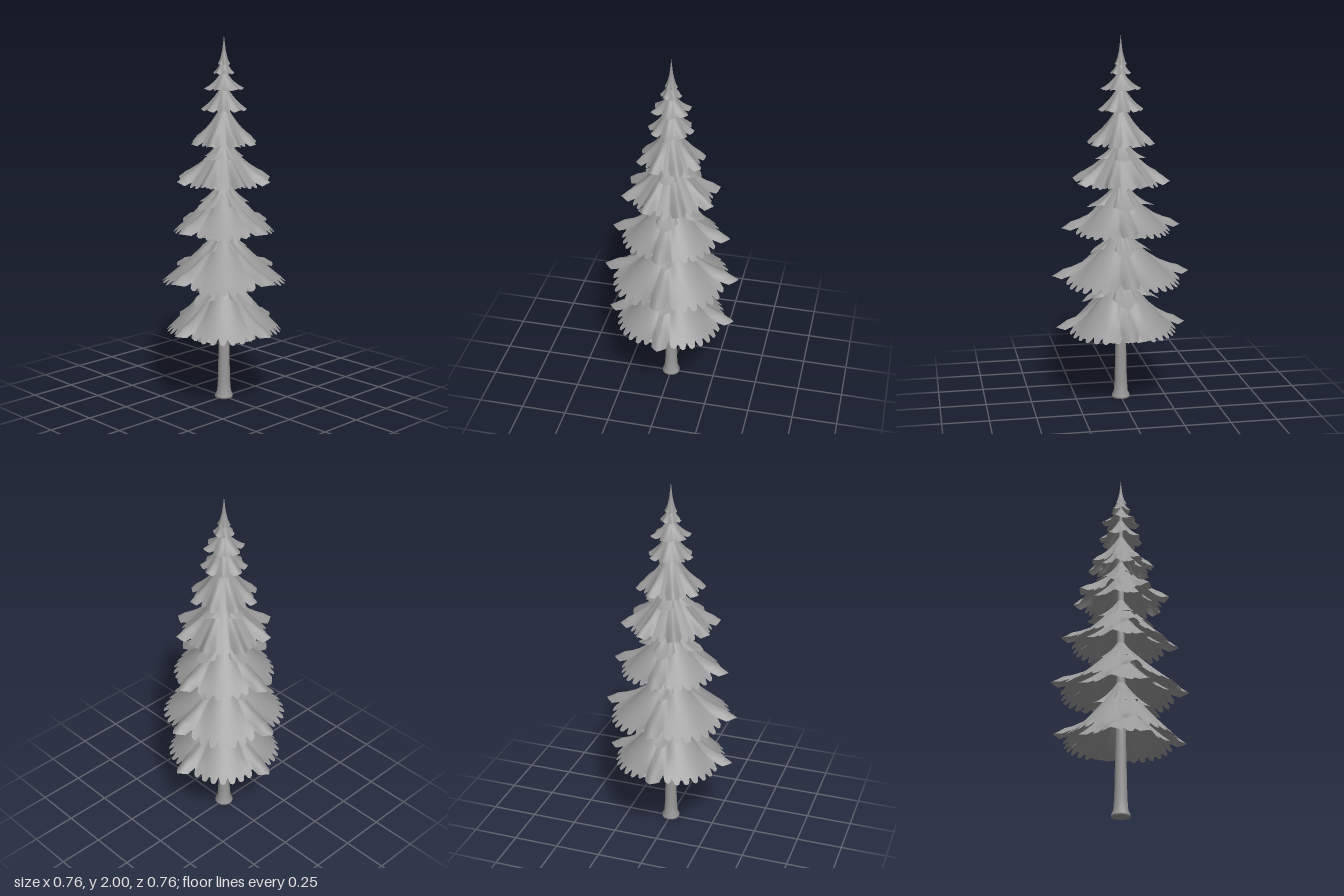
import * as THREE from 'three';

// Drooping skirt of needles: a concave cone whose hem has long curled tips and rounded teeth.
function skirtGeometry({ apex, low, tipY, tipR, hemR, tips, teeth, turn = 0, bulge = 0, narrow = 0.1, curl = 0.8, roll = 0 }) {
  const perTooth = 4, cols = teeth * perTooth;
  const rows = [0, 0.2, 0.4, 0.58, 0.74, 0.85, 0.93, 1];
  const toothShape = [0.1, 0.015, 0, 0.015];
  const step = (Math.PI * 2) / tips;
  const pos = [], idx = [];
  for (const s of rows) {
    for (let i = 0; i < cols; i++) {
      const a = (i / cols) * Math.PI * 2;
      const off = Math.abs(a - Math.round(a / step) * step);
      const w = Math.max(0, 1 - off / (step * narrow));
      const wave = 0.5 + 0.5 * Math.cos(a * tips);
      const lift = wave ** 3.5;
      // no notches inside a tip
      const t = s * (w > 0 ? 1 : 1 - toothShape[i % perTooth]);
      const hem = hemR + bulge * (1 - wave);
      const r = 0.012 + (hem - 0.012) * t + (tipR - hem) * w ** 0.7 * t * t;
      const drop = apex - (low + (tipY - low) * lift);
      const bend = 0.15 + curl * lift;
      const y = apex - drop * ((1 - bend) * t + bend * (1 - (1 - t) ** 2))
        - roll * lift * Math.max(0, t - 0.85);
      pos.push(Math.sin(a + turn) * r, y, Math.cos(a + turn) * r);
    }
  }
  for (let j = 0; j < rows.length - 1; j++) {
    for (let i = 0; i < cols; i++) {
      const n = (i + 1) % cols;
      const a = j * cols + i, b = j * cols + n, c = a + cols, d = b + cols;
      idx.push(a, c, d, a, d, b);
    }
  }
  const g = new THREE.BufferGeometry();
  g.setAttribute('position', new THREE.Float32BufferAttribute(pos, 3));
  g.setIndex(idx);
  g.computeVertexNormals();
  return g;
}

export function createModel() {
  const tree = new THREE.Group();
  tree.name = 'firTree';
  const grey = new THREE.MeshStandardMaterial({ color: 0x999999, side: THREE.DoubleSide });
  grey.name = 'plainGrey';
  const add = (name, geometry) => {
    const m = new THREE.Mesh(geometry, grey);
    m.name = name;
    tree.add(m);
  };

  // Trunk with a flared foot, tapering up inside the branches
  const trunk = [[0, 0], [0.05, 0], [0.051, 0.012], [0.04, 0.035], [0.035, 0.1],
    [0.029, 0.38], [0.023, 0.9], [0.014, 1.5], [0.006, 1.88]];
  add('trunk', new THREE.LatheGeometry(trunk.map(p => new THREE.Vector2(...p)), 12));

  // Main tiers, bottom to top
  const eighth = Math.PI / 8;
  const tiers = [
    { apex: 0.74, low: 0.39, tipY: 0.45, tipR: 0.36, hemR: 0.3, bulge: 0.015, tips: 4, teeth: 36, roll: 0.2 },
    { apex: 0.97, low: 0.665, tipY: 0.74, tipR: 0.38, hemR: 0.318, bulge: 0.02, tips: 4, teeth: 36, roll: 0.2 },
    { apex: 1.22, low: 0.945, tipY: 1.003, tipR: 0.327, hemR: 0.265, bulge: 0.01, tips: 4, teeth: 32, narrow: 0.12, roll: 0.2 },
    { apex: 1.45, low: 1.205, tipY: 1.245, tipR: 0.27, hemR: 0.225, tips: 8, teeth: 32, turn: eighth, narrow: 0.24, curl: 0.35, roll: 0.1 },
    { apex: 1.63, low: 1.42, tipY: 1.443, tipR: 0.187, hemR: 0.155, tips: 8, teeth: 24, turn: eighth, narrow: 0.33, curl: 0.25, roll: 0.1 },
    { apex: 1.735, low: 1.6, tipY: 1.61, tipR: 0.123, hemR: 0.1, tips: 8, teeth: 16, narrow: 0.45, curl: 0.15 },
    { apex: 1.81, low: 1.712, tipY: 1.72, tipR: 0.11, hemR: 0.078, tips: 6, teeth: 12, turn: Math.PI / 6, narrow: 0.45, curl: 0.2 },
    { apex: 1.87, low: 1.795, tipY: 1.803, tipR: 0.057, hemR: 0.046, tips: 6, teeth: 12, narrow: 0.45, curl: 0.2 },
    { apex: 1.91, low: 1.843, tipY: 1.85, tipR: 0.034, hemR: 0.027, tips: 6, teeth: 12, narrow: 0.45, curl: 0.2 },
  ];
  tiers.forEach((t, i) => add(`branchTier${i + 1}`, skirtGeometry(t)));

  // Shorter pointed layers lying over the top of the larger tiers
  const overlays = [
    { apex: 0.755, low: 0.595, tipY: 0.56, tipR: 0.215, hemR: 0.12 },
    { apex: 0.985, low: 0.86, tipY: 0.83, tipR: 0.17, hemR: 0.1 },
    { apex: 1.235, low: 1.1, tipY: 1.085, tipR: 0.185, hemR: 0.11 },
    { apex: 1.465, low: 1.35, tipY: 1.345, tipR: 0.14, hemR: 0.09 },
  ];
  overlays.forEach((t, i) =>
    add(`upperLayer${i + 1}`, skirtGeometry({ ...t, tips: 4, teeth: 20, narrow: 0.35, curl: 0.35 })));

  // Inner layers hanging under the lifted tips
  const inner = [
    { apex: 0.67, low: 0.38, tipR: 0.265, hemR: 0.235 },
    { apex: 0.9, low: 0.665, tipR: 0.27, hemR: 0.235 },
    { apex: 1.15, low: 0.94, tipR: 0.225, hemR: 0.195 },
    { apex: 1.39, low: 1.2, tipR: 0.18, hemR: 0.16 },
    { apex: 1.57, low: 1.42, tipR: 0.125, hemR: 0.105 },
  ];
  inner.forEach((t, i) => add(`innerLayer${i + 1}`,
    skirtGeometry({ ...t, tipY: t.low + 0.01, tips: 8, teeth: 24, turn: eighth, narrow: 0.33, curl: 0.1 })));

  // Pointed leader shoot
  const shoot = [[0.022, 1.855], [0.014, 1.89], [0.007, 1.94], [0, 2]];
  add('topShoot', new THREE.LatheGeometry(shoot.map(p => new THREE.Vector2(...p)), 10));
  return tree;
}
